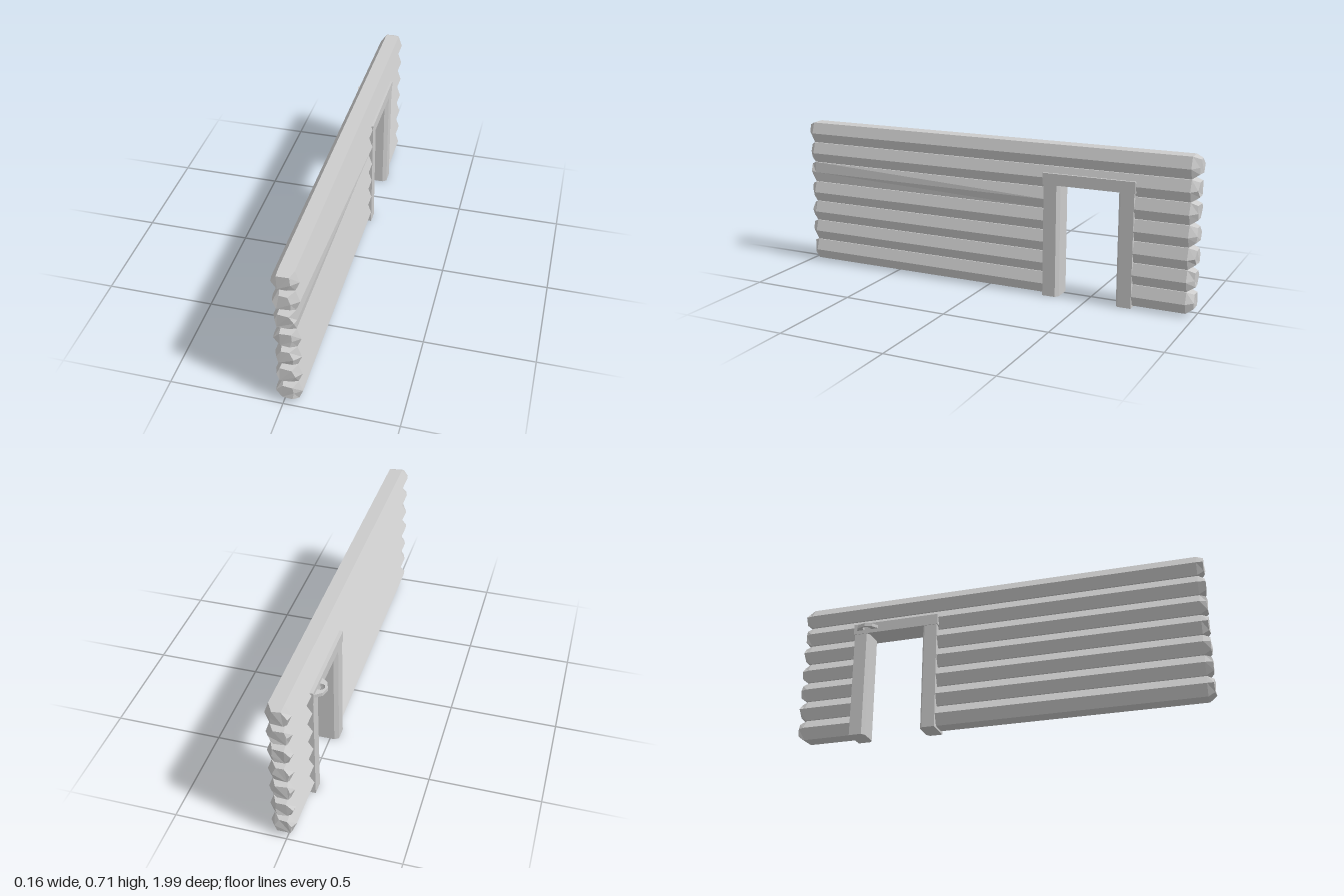
import * as THREE from 'three';

const material = new THREE.MeshStandardMaterial({ color: 0xcccccc, flatShading: true });

// Hexagonal log section, [x, y above the log's underside], counter-clockwise
const SECTION = [[-0.013, 0], [0.06, 0], [0.078, 0.046], [0.06, 0.098], [-0.005, 0.1], [-0.035, 0.055]];

// Joins equal-sized rings (ordered from front to back) into a closed solid
function loft(rings) {
  const n = rings[0].length, pos = [], idx = [];
  rings.forEach(r => r.forEach(p => pos.push(...p)));
  for (let k = 0; k < rings.length - 1; k++) {
    for (let i = 0; i < n; i++) {
      const a = k * n + i, b = k * n + (i + 1) % n;
      idx.push(a, a + n, b, b, a + n, b + n);
    }
  }
  const last = (rings.length - 1) * n;
  for (let i = 1; i < n - 1; i++) {
    idx.push(0, i, i + 1, last, last + i + 1, last + i);
  }
  const g = new THREE.BufferGeometry();
  g.setAttribute('position', new THREE.Float32BufferAttribute(pos, 3));
  g.setIndex(idx);
  const flat = g.toNonIndexed();
  flat.computeVertexNormals();
  return flat;
}

function add(parent, name, geometry) {
  const mesh = new THREE.Mesh(geometry, material);
  mesh.name = name;
  parent.add(mesh);
  return mesh;
}

// Full-size ring; ridge moves the outer corner, floor trims the underside
function ring(y, z, ridge = 0.078, floor = -1) {
  return SECTION.map(([x, h], i) => [i === 2 ? ridge : x, Math.max(y + h, floor), z]);
}

// Small, slightly skewed ring for a hewn log end
function endRing(y, side, row) {
  return SECTION.map(([x, h], i) => {
    const skew = 0.006 * Math.sin(row * 2.3 + i * 1.9 + side);
    return [0.012 + (x - 0.02) * 0.68 + skew, y + 0.053 + (h - 0.05) * 0.66, side * (0.995 - Math.abs(skew))];
  });
}

export function createModel() {
  const model = new THREE.Group();
  model.name = 'logWallWithDoorway';

  // Stacked logs, interrupted by the doorway in the lower rows
  const logs = new THREE.Group();
  logs.name = 'logs';
  model.add(logs);
  for (let row = 0; row < 7; row++) {
    const y = 0.01 + row * 0.1;
    const frontEnd = endRing(y, 1, row), backEnd = endRing(y, -1, row);
    if (row === 6) {
      add(logs, 'topLog', loft([frontEnd, ring(y, 0.96), ring(y, -0.96), backEnd]));
      continue;
    }
    // the fifth log is hewn flatter towards the front
    const ridge = row === 4 ? 0.063 : 0.078;
    add(logs, 'frontLog', loft([frontEnd, ring(y, 0.96, ridge), ring(y, -0.31)]));
    add(logs, 'backLog', loft([ring(y, -0.69), ring(y, -0.96), backEnd]));
    if (row === 5) add(logs, 'logOverDoor', loft([ring(y, -0.31, 0.078, 0.535), ring(y, -0.69, 0.078, 0.535)]));
  }

  // Door frame: two posts with chamfered inner edges and a lintel
  const frame = new THREE.Group();
  frame.name = 'doorFrame';
  frame.position.z = -0.503;
  model.add(frame);
  for (const side of [1, -1]) {
    const outer = side * 0.213, edge = side * 0.151, inner = side * 0.138;
    const shape = new THREE.Shape([
      [-0.04, outer], [0.079, outer], [0.079, edge], [0.06, inner], [-0.021, inner], [-0.04, edge],
    ].map(([x, z]) => new THREE.Vector2(x, -z)));
    const g = new THREE.ExtrudeGeometry(shape, { depth: 0.53, bevelEnabled: false });
    g.rotateX(-Math.PI / 2);
    add(frame, side > 0 ? 'frontPost' : 'backPost', g);
  }
  const lintel = add(frame, 'lintel', new THREE.BoxGeometry(0.124, 0.053, 0.436));
  lintel.position.set(0.019, 0.5515, 0);

  // Flat crescent bracket with an eyelet, on the lintel
  const crescent = new THREE.Shape();
  crescent.absarc(-0.023, 0, 0.06, 0, Math.PI * 2);
  const eye = new THREE.Path();
  eye.absarc(-0.052, 0, 0.02, 0, Math.PI * 2, true);
  crescent.holes.push(eye);
  const bracket = new THREE.ExtrudeGeometry(crescent, { depth: 0.016, bevelEnabled: false, curveSegments: 5 });
  bracket.rotateX(-Math.PI / 2);
  add(model, 'bracket', bracket).position.set(0, 0.544, -0.65);

  return model;
}
